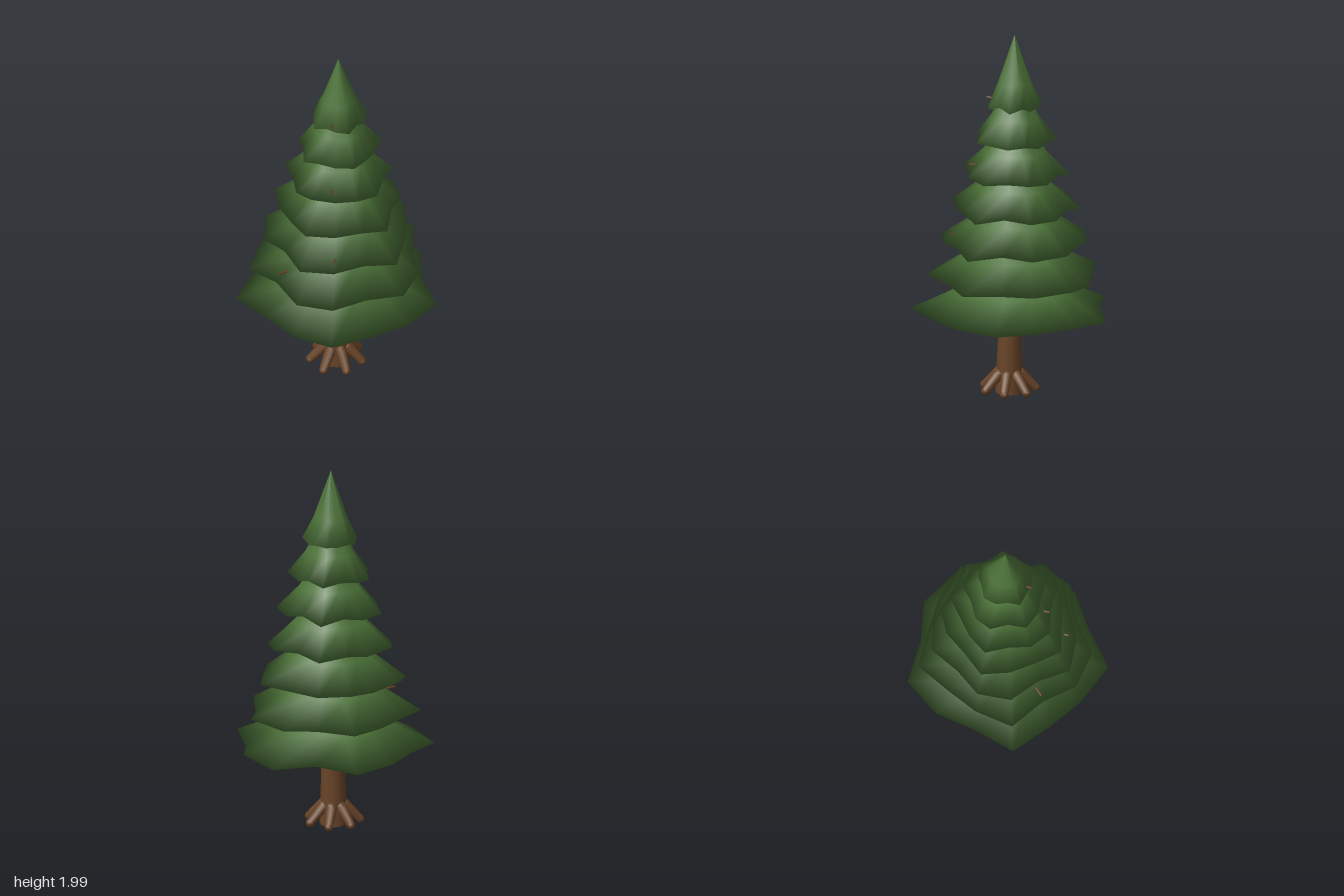
import * as THREE from 'three';

const needleGreen = new THREE.MeshStandardMaterial({ color: 0x4b7138 });
needleGreen.name = 'needle green';
const barkBrown = new THREE.MeshStandardMaterial({ color: 0x684327 });
barkBrown.name = 'bark brown';

const SIDES = 14;
const UP = new THREE.Vector3(0, 1, 0);

// Smooth surface through rings, each a function angle -> [radius, height]
function ringSurface(rings) {
  const pos = [], index = [];
  rings.forEach((ring) => {
    for (let k = 0; k < SIDES; k++) {
      const a = (k / SIDES) * Math.PI * 2;
      const [r, y] = ring(a);
      pos.push(r * Math.cos(a), y, r * Math.sin(a));
    }
  });
  for (let j = 0; j < rings.length - 1; j++) {
    for (let k = 0; k < SIDES; k++) {
      const n = (k + 1) % SIDES;
      const a = j * SIDES + k, b = j * SIDES + n, c = a + SIDES, d = b + SIDES;
      index.push(a, c, b, b, c, d);
    }
  }
  const g = new THREE.BufferGeometry();
  g.setAttribute('position', new THREE.Float32BufferAttribute(pos, 3));
  g.setIndex(index);
  g.computeVertexNormals();
  return g;
}

// Tapered rod between two points
function rod(name, from, to, r0, r1, sides) {
  const dir = to.clone().sub(from);
  const mesh = new THREE.Mesh(new THREE.CylinderGeometry(r1, r0, dir.length(), sides), barkBrown);
  mesh.position.copy(from).add(to).multiplyScalar(0.5);
  mesh.quaternion.setFromUnitVectors(UP, dir.normalize());
  mesh.name = name;
  return mesh;
}

// One closed skirt of needles: flat underside, lobed zigzag rim, shoulder, tip
function makeTier(i, radius, y) {
  const lobe = (a) => Math.cos(5 * a + 1.12 - i * 0.7);
  const zigzag = (a) => Math.cos(6 * a - 0.45 + i * 0.7);
  const shoulder = radius * (0.55 + 0.012 * i);
  const tier = new THREE.Mesh(ringSurface([
    () => [0.001, y + 0.012],
    (a) => [radius * (1 + 0.1 * lobe(a)), y + 0.015 * (1 + zigzag(a))],
    (a) => [shoulder * (1 + 0.06 * lobe(a)), y + 0.14 + 0.006 * zigzag(a)],
    () => [0.001, y + 0.402],
  ]), needleGreen);
  tier.name = 'needleTier' + (i + 1);
  return tier;
}

export function createModel() {
  const tree = new THREE.Group();
  tree.name = 'pineTree';
  const cx = -0.025, cz = 0.018;

  // Trunk
  tree.add(rod('trunk', new THREE.Vector3(cx, 0.01, cz),
    new THREE.Vector3(-0.01, 1.3, 0.008), 0.074, 0.03, 12));

  // Roots splayed around the base, rounded at both ends
  for (let k = 0; k < 7; k++) {
    const a = (k / 7) * Math.PI * 2;
    const at = (r, y) => new THREE.Vector3(cx + r * Math.cos(a), y, cz + r * Math.sin(a));
    tree.add(rod('root', at(0.06, 0.115), at(0.142, 0.032), 0.03, 0.023, 8));
    [[at(0.06, 0.115), 0.03], [at(0.142, 0.032), 0.023]].forEach(([p, r]) => {
      const end = new THREE.Mesh(new THREE.SphereGeometry(r, 8, 6), barkBrown);
      end.position.copy(p);
      end.name = 'rootEnd';
      tree.add(end);
    });
  }

  // Seven stacked tiers
  [0.505, 0.442, 0.385, 0.326, 0.27, 0.211, 0.144].forEach((r, i) => {
    tree.add(makeTier(i, r, 0.456 + i * 0.19));
  });

  // Twig tips poking through the needles
  [[-0.385, 0.725, 0], [-0.212, 0.895, 0.267], [-0.168, 1.275, 0.174], [-0.12, 1.645, 0.094]]
    .forEach(([x, y, z]) => {
      tree.add(rod('twig', new THREE.Vector3(x * 0.6, y - 0.01, z * 0.6),
        new THREE.Vector3(x, y, z), 0.008, 0.006, 6));
    });
  return tree;
}
